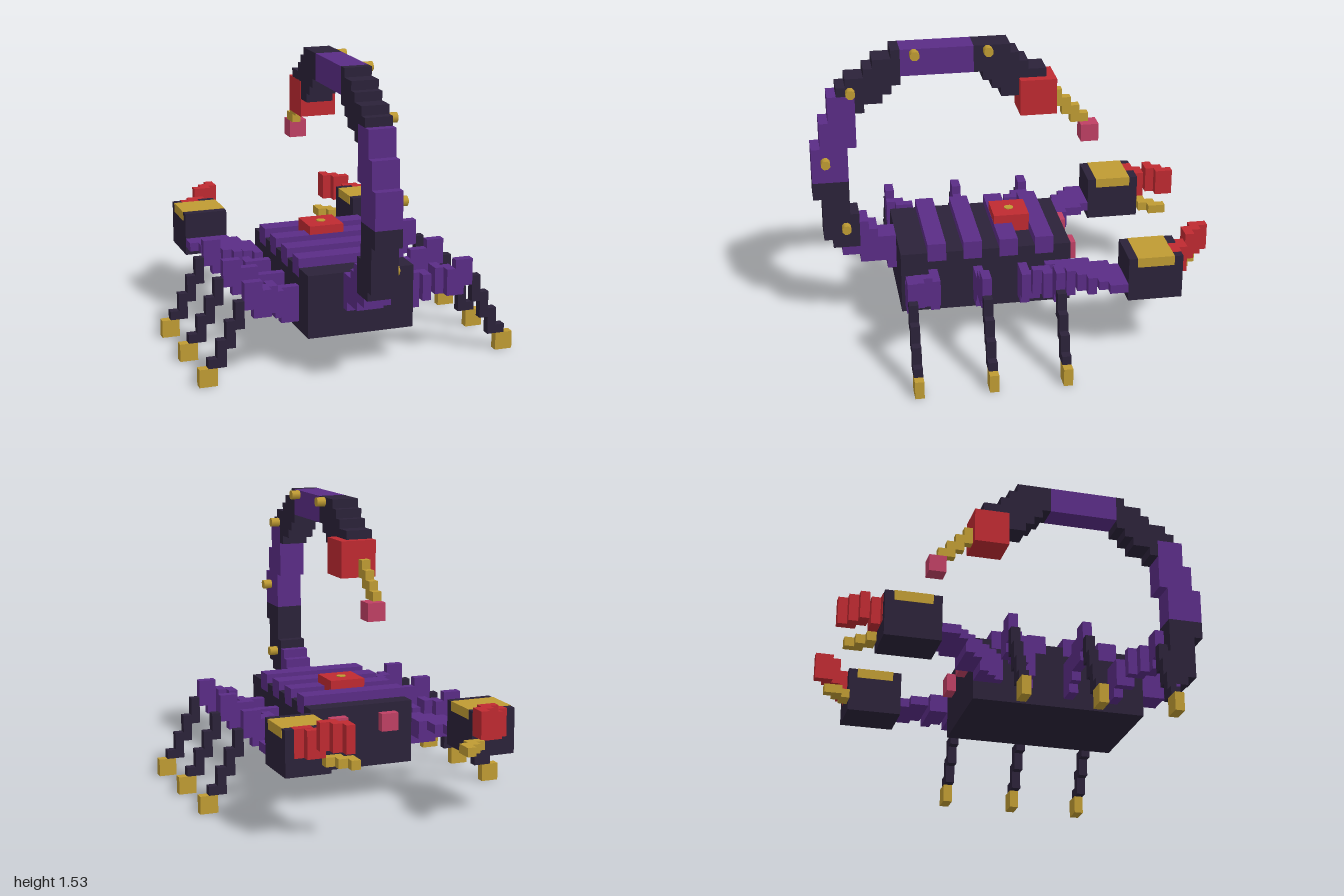
import * as THREE from 'three';

const U = 2 / 43; // edge of one block
const mat = (name, color) => {
  const m = new THREE.MeshStandardMaterial({ color });
  m.name = name;
  return m;
};

export function createModel() {
  const dark = mat('dark shell', 0x2b2239);
  const purple = mat('purple shell', 0x5a2c86);
  const gold = mat('gold', 0xbf9b33);
  const red = mat('red', 0xbf2a31);
  const pink = mat('pink', 0xbf4064);
  const model = new THREE.Group();
  model.name = 'scorpion';

  const group = (name) => {
    const g = new THREE.Group();
    g.name = name;
    model.add(g);
    return g;
  };
  const place = (parent, name, geo, material, x, y, z) => {
    const m = new THREE.Mesh(geo, material);
    m.name = name;
    m.position.set((x - 18) * U, y * U, (z - 21.5) * U);
    parent.add(m);
    return m;
  };
  // box between block coordinates, optionally grown a little to stand proud
  const box = (parent, name, material, x0, x1, y0, y1, z0, z1, grow = 0) => place(parent, name,
    new THREE.BoxGeometry((x1 - x0) * U + grow, (y1 - y0) * U + grow, (z1 - z0) * U + grow),
    material, (x0 + x1) / 2, (y0 + y1) / 2, (z0 + z1) / 2);
  // same box on both sides of the body
  const pair = (parent, name, material, x0, x1, ...rest) => {
    box(parent, name + 'Right', material, x0, x1, ...rest);
    box(parent, name + 'Left', material, 36 - x1, 36 - x0, ...rest);
  };

  // Body with raised bands, saddle and eyes
  const body = group('body');
  box(body, 'trunk', dark, 12, 24, 4, 11, 15, 34);
  for (const z of [17, 21, 25, 29]) box(body, 'backBand', purple, 12, 24, 10, 12, z, z + 2, 0.003);
  box(body, 'saddle', red, 16, 20, 11, 13, 19, 23);
  const stud = new THREE.CylinderGeometry(0.54 * U, 0.54 * U, 0.008, 8);
  stud.rotateY(Math.PI / 8);
  place(body, 'saddleStud', stud, gold, 18, 13, 21);
  pair(body, 'eye', pink, 14, 16, 8, 10, 14, 15);

  // Tail: [z0, z1, y0, y1] steps, three blocks wide
  const tail = group('tail');
  const steps = (name, material, list) => {
    for (const [z0, z1, y0, y1] of list) box(tail, name, material, 16, 19, y0, y1, z0, z1);
  };
  steps('tailRoot', purple, [[34, 35, 7, 11], [35, 36, 8, 11], [36, 37, 8, 12], [37, 38, 8, 13], [38, 40, 9, 10]]);
  steps('tailLower', dark, [[38, 39, 10, 14], [39, 41, 10, 16], [41, 42, 11, 16], [39, 43, 16, 18]]);
  steps('tailRise', purple, [[39, 43, 18, 22], [38, 42, 22, 25], [38, 41, 25, 28]]);
  steps('tailBend', dark, [[39, 40, 28, 29], [38, 39, 28, 30], [37, 38, 26, 30], [36, 37, 27, 31],
    [35, 36, 27, 32], [34, 35, 28, 32], [33, 34, 29, 33]]);
  steps('tailTop', purple, [[25, 33, 30, 33]]);
  steps('tailTip', dark, [[24, 25, 30, 33], [23, 24, 29, 33], [22, 23, 28, 33], [21, 22, 27, 33],
    [20, 21, 27, 32], [19, 20, 27, 31], [17, 19, 28, 30]]);
  box(tail, 'venomBulb', red, 16, 20, 25, 29, 16, 20, 0.002);
  for (const [z, y0, y1] of [[15, 25, 27], [14, 24, 26], [13, 23, 25], [12, 23, 24]]) {
    box(tail, 'stingerStep', gold, 17, 18, y0, y1, z, z + 1);
  }
  box(tail, 'stingerPoint', pink, 17, 19, 21, 23, 11, 13);

  // Studs along one flank of the tail
  const knob = new THREE.CylinderGeometry(0.54 * U, 0.54 * U, U, 8);
  knob.rotateY(Math.PI / 8);
  knob.rotateZ(Math.PI / 2);
  for (const [z, y] of [[39, 12], [41, 20], [38, 28], [31, 32], [23, 32]]) {
    place(tail, 'tailStud', knob, gold, 19.5, y + 0.5, z + 0.5);
  }

  // Legs: y ranges per column outwards from x = 1, with the z row of each column
  const shin = [[2, 3], [2, 5], [4, 7], [6, 9]];
  const thigh = [[8, 11], [7, 11], [7, 10], [7, 10], [6, 9], [5, 9], [5, 9]];
  const bend = [0, 0, 0, 1, 2, 3, 3];
  for (const [name, row, dir] of [['frontLeg', 17, 1], ['middleLeg', 25, 0], ['rearLeg', 33, -1]]) {
    const leg = group(name + 's');
    pair(leg, name + 'Foot', gold, 0, 2, 0, 2, row, row + 1);
    shin.forEach(([y0, y1], i) => pair(leg, name + 'Shin', dark, i + 1, i + 2, y0, y1, row, row + 1));
    thigh.forEach(([y0, y1], i) => {
      const z = row + dir * bend[i];
      // neighbouring rows overlap where the leg turns
      const near = row + dir * bend[Math.min(i + 1, 6)];
      pair(leg, name + 'Thigh', purple, i + 5, i + 6, y0, y1, Math.min(z, near), Math.max(z, near) + 1);
    });
  }

  // Arms: [z, x0, x1, y0, y1]
  const arms = group('arms');
  for (const [z, x0, x1, y0, y1] of [[10, 5, 10, 8, 9], [11, 5, 11, 8, 9], [12, 6, 11, 8, 9], [13, 7, 12, 7, 9],
    [14, 8, 12, 7, 9], [15, 9, 12, 6, 9], [16, 10, 12, 6, 9], [17, 11, 12, 6, 9]]) {
    pair(arms, 'armStep', purple, x0, x1, y0, y1, z, z + 1);
  }

  // Pincers: block, gold cap, red upper finger, gold lower finger
  const pincers = group('pincers');
  pair(pincers, 'pincerBlock', dark, 5, 10, 7, 12, 4, 10);
  pair(pincers, 'pincerCap', gold, 5, 10, 11, 12, 5, 9, 0.004);
  for (const [z, x0, x1, y0, y1] of [[4, 6, 8, 9, 12], [3, 7, 9, 9, 12], [2, 8, 10, 10, 13], [1, 9, 11, 10, 13], [0, 10, 11, 10, 13]]) {
    pair(pincers, 'upperFinger', red, x0, x1, y0, y1, z, z + 1, z === 4 ? 0.004 : 0);
  }
  for (const [z, x0, x1] of [[3, 9, 11], [2, 10, 12], [1, 11, 12]]) {
    pair(pincers, 'lowerFinger', gold, x0, x1, 8, 9, z, z + 1);
  }
  return model;
}
